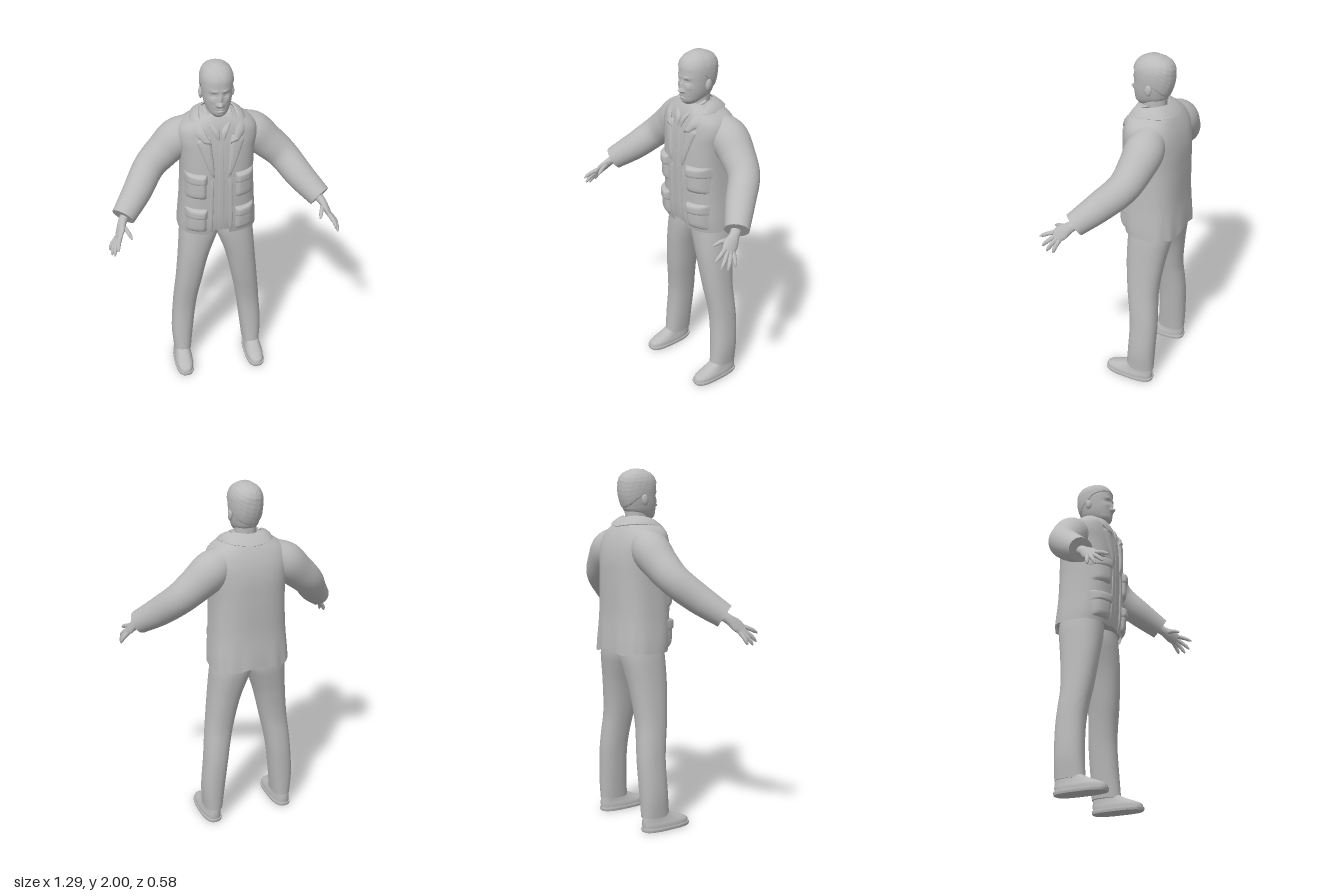
import * as THREE from 'three';
import { toCreasedNormals } from 'three/addons/utils/BufferGeometryUtils.js';

const { lerp, clamp } = THREE.MathUtils;
const V = (p) => new THREE.Vector3(...p);
const gray = new THREE.MeshStandardMaterial({ color: 0xbababa, side: THREE.DoubleSide });
gray.name = 'plain gray';

// Grid surface from f(u, v) -> [x, y, z]; wrap joins the u ends, cap closes the v ends.
function grid(nu, nv, f, wrap = true, cap = true) {
  const cols = wrap ? nu : nu + 1, pos = [], index = [];
  const rows = [];
  for (let j = 0; j <= nv; j++) {
    const row = [];
    for (let i = 0; i < cols; i++) row.push(f(i / nu, j / nv));
    rows.push(row);
  }
  const centre = (row) => row.map(() => [0, 1, 2].map((k) => row.reduce((s, p) => s + p[k], 0) / cols));
  if (cap) { rows.unshift(centre(rows[0])); rows.push(centre(rows[rows.length - 1])); }
  rows.forEach((row) => row.forEach((p) => pos.push(...p)));
  const last = rows.length - 2;
  for (let j = 0; j <= last; j++) for (let i = 0; i < nu; i++) {
    const a = j * cols + i, b = j * cols + (i + 1) % cols, c = a + cols, d = b + cols;
    if (!(cap && j === 0)) index.push(a, b, c);
    if (!(cap && j === last)) index.push(b, d, c);
  }
  const g = new THREE.BufferGeometry();
  g.setAttribute('position', new THREE.Float32BufferAttribute(pos, 3));
  g.setIndex(index);
  return g;
}

// Smooth lookup in a table whose first column is the parameter.
function spline(table) {
  const n = table[0].length - 1;
  const s = new THREE.CubicInterpolant(table.map((r) => r[0]), table.flatMap((r) => r.slice(1)), n, new Float32Array(n));
  return (t) => Array.from(s.evaluate(t));
}
const pow = (c, n) => Math.sign(c) * Math.abs(c) ** (2 / n);
const sym = (rows) => rows.map(([y, w, zb, zf]) => [y, -w, w, zb, zf]);

// Point on a horizontal superellipse section [x0, x1, zBack, zFront].
function ringPoint([x0, x1, zb, zf], y, a, n, k = 1) {
  return [(x0 + x1) / 2 + k * (x1 - x0) / 2 * pow(Math.sin(a), n), y, (zb + zf) / 2 + k * (zf - zb) / 2 * pow(Math.cos(a), n)];
}
function stack(table, n = 2.2, nu = 40, nv = 40, k = 1) {
  const s = spline(table), y0 = table[0][0], y1 = table[table.length - 1][0];
  return grid(nu, nv, (u, v) => { const y = lerp(y0, y1, v); return ringPoint(s(y), y, u * Math.PI * 2, n, k); });
}

// Tube along points, with [wide, thin] radii; ref sets the wide direction.
function limb(points, radii, ref, nu = 24, nv = 24) {
  const curve = new THREE.CatmullRomCurve3(points.map(V));
  const rad = spline(radii.map((r, i) => [i / (radii.length - 1), ...r]));
  return grid(nu, nv, (u, v) => {
    const T = curve.getTangent(v), A = V(ref).addScaledVector(T, -V(ref).dot(T)).normalize();
    const B = T.clone().cross(A), [ra, rb] = rad(v), a = u * Math.PI * 2;
    return curve.getPoint(v).addScaledVector(A, ra * Math.cos(a)).addScaledVector(B, rb * Math.sin(a)).toArray();
  });
}

const TORSO = sym([
  [1.0, 0.226, -0.287, 0.035], [1.05, 0.224, -0.285, 0.045], [1.2, 0.212, -0.276, 0.054],
  [1.4, 0.205, -0.275, 0.058], [1.52, 0.212, -0.27, 0.052], [1.6, 0.222, -0.252, 0.042],
  [1.66, 0.2, -0.225, 0.03], [1.7, 0.14, -0.198, 0.015], [1.725, 0.09, -0.175, 0],
]);
const torso = spline(TORSO), TN = 2.7;
const HEAD = sym([
  [1.724, 0.03, -0.07, 0], [1.745, 0.052, -0.12, 0.016], [1.77, 0.066, -0.16, 0.02], [1.8, 0.075, -0.176, 0.023],
  [1.85, 0.083, -0.192, 0.022], [1.9, 0.086, -0.196, 0.021], [1.94, 0.08, -0.19, 0.014],
  [1.97, 0.06, -0.165, -0.012], [1.99, 0.028, -0.12, -0.055],
]);
const head = spline(HEAD);

// Front depth of the jacket at (x, y).
function frontZ(x, y) {
  const [, w, zb, zf] = torso(y);
  return (zb + zf) / 2 + (zf - zb) / 2 * Math.max(0, 1 - Math.min(1, Math.abs(x) / w) ** TN) ** (1 / TN);
}
// Raised cloth patch on the jacket front; rows are [y, xLeft, xRight].
function patch(rows, depth, nu = 14, nv = 20) {
  return grid(nu, nv, (u, v) => {
    const t = v * (rows.length - 1), i = Math.min(rows.length - 2, Math.floor(t));
    const [y, xa, xb] = rows[i].map((c, k) => lerp(c, rows[i + 1][k], t - i));
    const x = lerp(xa, xb, u), e = (1 - Math.abs(2 * u - 1) ** 6) * (1 - Math.abs(2 * v - 1) ** 6);
    return [x, y, frontZ(x, y) - 0.004 + depth * e];
  }, false, false);
}

// Facial relief: [x, y, widthX, widthY, depth], mirrored in x.
const FACE = [
  [0, 1.835, 0.01, 0.022, 0.012], [0, 1.804, 0.012, 0.011, 0.024], [0.014, 1.8, 0.007, 0.008, 0.007],
  [0.034, 1.856, 0.014, 0.01, -0.012], [0.034, 1.856, 0.009, 0.005, 0.006], [0.03, 1.877, 0.02, 0.006, 0.006],
  [0, 1.776, 0.02, 0.005, 0.005], [0, 1.761, 0.018, 0.005, 0.005], [0, 1.768, 0.022, 0.0025, -0.004],
  [0, 1.738, 0.018, 0.01, 0.005], [0.045, 1.825, 0.015, 0.015, 0.004],
];
function headGeometry() {
  return grid(112, 100, (u, v) => {
    const y = lerp(1.724, 1.99, v), a = u * Math.PI * 2, p = ringPoint(head(y), y, a, 2.2);
    if (Math.cos(a) > 0) for (const [x, fy, sx, sy, d] of FACE)
      p[2] += d * Math.exp(-(((Math.abs(p[0]) - x) / sx) ** 2) - ((y - fy) / sy) ** 2);
    return p;
  });
}
function hairGeometry() {
  return grid(64, 30, (u, v) => {
    const a = u * Math.PI * 2, c = Math.cos(a);
    const low = c > 0 ? lerp(1.865, 1.925, Math.sqrt(c)) : lerp(1.865, 1.785, -c);
    const y = lerp(low, 1.99, v);
    const tuft = 0.012 * v * Math.sin(a * 11 + v * 23) * Math.sin(a * 5 - v * 31);
    return ringPoint(head(y), y + 0.01 * v, a, 2.2, v === 0 ? 0.97 : 1.05 + tuft * 2);
  });
}

// Jacket body, open down the front and wider at the chest.
const gap = spline([[1, 0.052], [1.2, 0.05], [1.4, 0.045], [1.55, 0.065], [1.65, 0.08], [1.725, 0.07]]);
function jacketGeometry() {
  return grid(96, 50, (u, v) => {
    const y = lerp(1, 1.725, v), s = torso(y);
    const a0 = Math.asin(clamp(gap(y)[0] / s[1], 0, 1) ** (TN / 2)), a = lerp(a0, Math.PI * 2 - a0, u);
    const back = Math.max(0, -Math.cos(a)), low = Math.max(0, 1 - v * 4);
    const p = ringPoint(s, y, a, TN, 1 + 0.018 * back * low * Math.sin(a * 13));
    p[1] += 0.012 * low * back * Math.cos(a * 6);
    return p;
  }, false, false);
}

// Folded collar swept round the neck between an inner and an outer edge.
function collarGeometry() {
  const edge = (half) => new THREE.CatmullRomCurve3(
    [...half, ...half.slice(0, -1).reverse().map(([x, y, z]) => [-x, y, z])].map(V));
  const inner = edge([[0.05, 1.585, 0.05], [0.08, 1.65, 0.03], [0.1, 1.72, -0.05], [0.072, 1.742, -0.13], [0, 1.738, -0.165]]);
  const outer = edge([[0.095, 1.6, 0.05], [0.14, 1.645, 0.012], [0.15, 1.695, -0.08], [0.11, 1.7, -0.19], [0, 1.69, -0.226]]);
  return grid(8, 48, (u, v) => {
    const a = u * Math.PI * 2, p = inner.getPoint(v).lerp(outer.getPoint(v), 0.5 - 0.5 * Math.cos(a));
    p.y += 0.014 * Math.sin(a);
    p.z += 0.008 * Math.sin(a);
    return p.toArray();
  });
}

export function createModel() {
  const model = new THREE.Group();
  model.name = 'standingMan';
  const add = (name, g) => {
    const m = new THREE.Mesh(toCreasedNormals(g, 0.9), gray);
    m.name = name;
    model.add(m);
  };
  const pair = (name, g) => {
    const r = g.clone().scale(-1, 1, 1);
    r.setIndex(Array.from(g.index.array).reverse());
    add(name + 'Left', g);
    add(name + 'Right', r);
  };

  // Head and neck
  add('head', headGeometry());
  add('hair', hairGeometry());
  pair('ear', new THREE.SphereGeometry(1, 16, 12).scale(0.011, 0.032, 0.02).rotateX(-0.15).translate(0.086, 1.832, -0.092));
  add('neck', stack(sym([[1.62, 0.066, -0.165, -0.02], [1.7, 0.06, -0.158, -0.025], [1.78, 0.058, -0.16, -0.03]]), 2));

  // Shirt, placket and shirt collar
  add('shirt', stack(TORSO.map(([y, ...r]) => [lerp(1.02, 1.725, (y - 1) / 0.725), ...r]), TN, 64, 40, 0.955));
  add('placket', patch([[1.03, -0.02, 0.02], [1.4, -0.016, 0.016], [1.58, -0.012, 0.012]], 0.002));
  pair('shirtCollar', limb([[0.062, 1.735, -0.09], [0.052, 1.705, -0.02], [0.022, 1.65, 0.03], [0.012, 1.6, 0.045]],
    [[0.018, 0.008], [0.02, 0.01], [0.018, 0.009], [0.004, 0.003]], [1, 0.4, 0]));

  // Jacket
  add('jacket', jacketGeometry());
  add('jacketCollar', collarGeometry());
  pair('lapel', patch([[1.38, 0.036, 0.05], [1.46, 0.04, 0.082], [1.55, 0.048, 0.115], [1.6, 0.052, 0.135], [1.625, 0.06, 0.105]], 0.014));
  pair('frontEdge', patch([[1.002, 0.048, 0.07], [1.39, 0.04, 0.062]], 0.008));
  for (const [name, y] of [['lower', 1.02], ['chest', 1.245]]) {
    pair(name + 'Pocket', patch([[y, 0.08, 0.196], [y + 0.14, 0.08, 0.196]], 0.024));
    pair(name + 'PocketFlap', patch([[y + 0.095, 0.076, 0.199], [y + 0.16, 0.076, 0.199]], 0.034));
  }
  pair('sleeve', limb(
    [[0.13, 1.605, -0.13], [0.21, 1.556, -0.135], [0.29, 1.487, -0.125], [0.375, 1.41, -0.097], [0.46, 1.312, 0], [0.55, 1.225, 0.1]],
    [0.085, 0.106, 0.097, 0.087, 0.08, 0.066].map((r) => [r, r]), [0, 0, 1], 32, 40));

  // Hands, with the thumb towards the front
  const across = [0.32, -0.44, -0.84];
  pair('palm', limb([[0.535, 1.235, 0.085], [0.56, 1.205, 0.125], [0.575, 1.177, 0.16], [0.592, 1.145, 0.195]],
    [[0.03, 0.026], [0.03, 0.022], [0.042, 0.018], [0.036, 0.012]], across));
  const fingers = {
    thumb: [[0.562, 1.195, 0.14], [0.537, 1.186, 0.195], [0.52, 1.165, 0.237]],
    indexFinger: [[0.58, 1.165, 0.205], [0.594, 1.148, 0.248], [0.6, 1.128, 0.285]],
    middleFinger: [[0.588, 1.152, 0.192], [0.61, 1.118, 0.232], [0.62, 1.085, 0.262]],
    ringFinger: [[0.595, 1.145, 0.18], [0.622, 1.106, 0.207], [0.633, 1.07, 0.228]],
    littleFinger: [[0.599, 1.14, 0.165], [0.628, 1.105, 0.177], [0.64, 1.076, 0.185]],
  };
  for (const [name, pts] of Object.entries(fingers))
    pair(name, limb(pts, [0.013, 0.012, 0.011, 0.01, 0.004].map((r) => [r, r]), across, 12, 14));

  // Trousers
  pair('trouserLeg', stack([
    [0.08, 0.166, 0.272, -0.2, -0.03], [0.2, 0.152, 0.28, -0.205, -0.04], [0.4, 0.128, 0.267, -0.21, -0.045],
    [0.5, 0.112, 0.258, -0.205, -0.035], [0.6, 0.092, 0.247, -0.2, -0.02], [0.8, 0.046, 0.228, -0.22, 0],
    [0.9, 0.01, 0.22, -0.237, 0.004], [0.96, -0.012, 0.215, -0.247, 0.004], [1.06, -0.02, 0.2, -0.25, 0],
  ], 2.3, 40, 50));

  // Shoes
  pair('sole', stack([[0, 0.168, 0.28, -0.198, 0.1], [0.01, 0.165, 0.283, -0.201, 0.105], [0.02, 0.166, 0.282, -0.2, 0.105]], 2.8, 40, 4));
  pair('shoe', stack([
    [0.018, 0.17, 0.278, -0.196, 0.1], [0.04, 0.171, 0.277, -0.198, 0.094], [0.056, 0.175, 0.272, -0.198, 0.06],
    [0.075, 0.178, 0.268, -0.196, 0.01], [0.1, 0.18, 0.265, -0.19, -0.035], [0.14, 0.182, 0.262, -0.185, -0.055],
  ], 2.5, 40, 20));
  return model;
}
